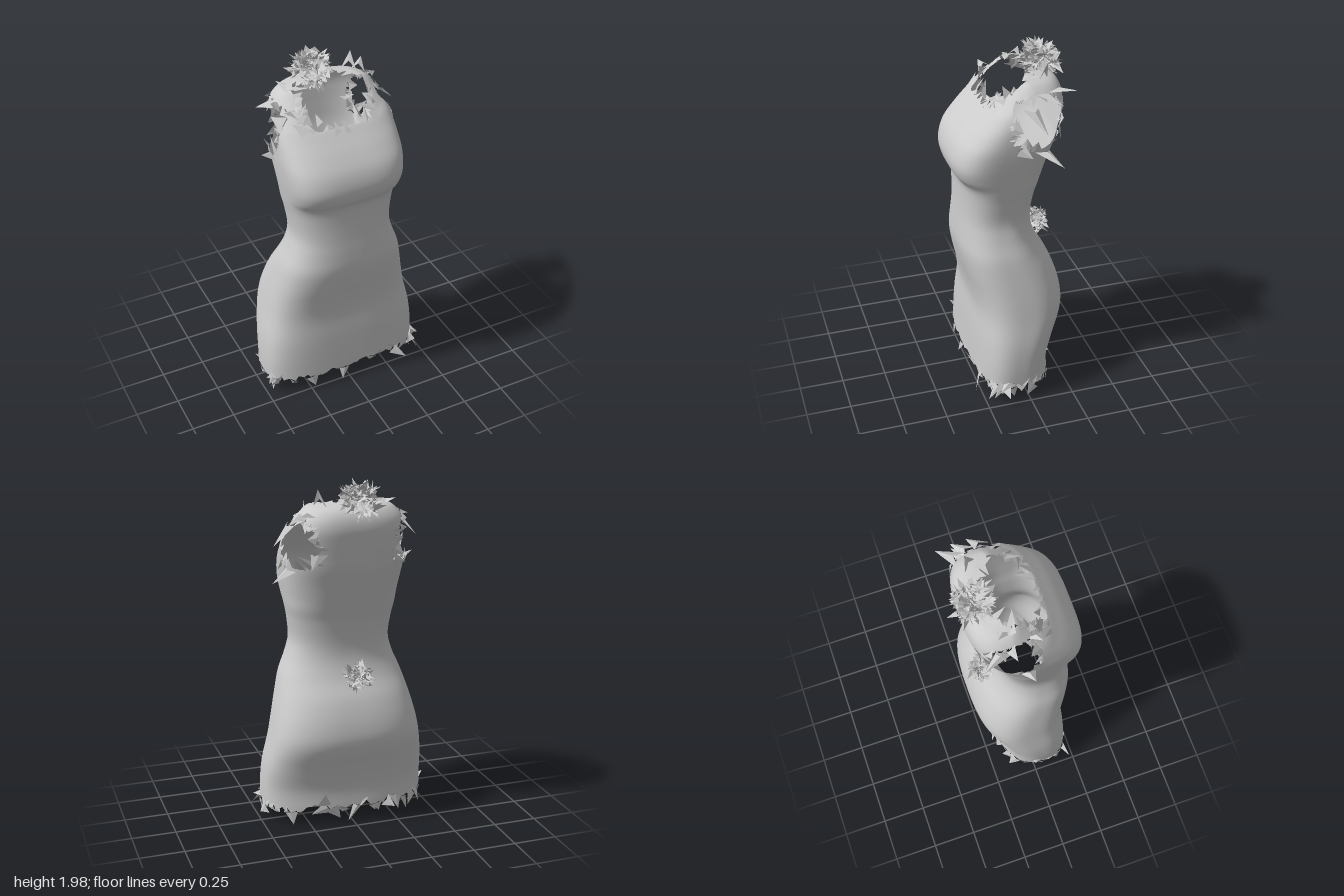
import * as THREE from 'three';

let seed = 7;
const rnd = () => {
  seed = (seed * 16807) % 2147483647;
  return seed / 2147483647;
};
const rndVec = () => new THREE.Vector3(rnd() - 0.5, rnd() - 0.5, rnd() - 0.5).multiplyScalar(2);

// Cross-section: side height, half width, front z, back z,
// front squareness, back squareness, front height, back height
const row = (y, w, zf, zb, nf, nb, yf = y, yb = y) => [y, w, zf, zb, nf, nb, yf, yb];
const ROWS = [
  row(0.11, 0.478, 0.262, -0.185, 3.3, 2.5), row(0.22, 0.478, 0.257, -0.185, 3.3, 2.5),
  row(0.35, 0.467, 0.25, -0.22, 3.3, 2.6), row(0.5, 0.437, 0.24, -0.272, 3.3, 2.7),
  row(0.62, 0.413, 0.255, -0.265, 3.1, 2.7), row(0.75, 0.382, 0.285, -0.22, 2.9, 2.6),
  row(0.86, 0.352, 0.303, -0.155, 2.7, 2.5), row(0.96, 0.312, 0.3, -0.12, 2.6, 2.4),
  row(1.06, 0.287, 0.292, -0.115, 2.6, 2.4), row(1.18, 0.298, 0.287, -0.135, 2.7, 2.4),
  row(1.26, 0.313, 0.293, -0.16, 2.9, 2.4, 1.27), row(1.33, 0.323, 0.332, -0.185, 3.3, 2.4, 1.335),
  row(1.41, 0.333, 0.345, -0.21, 3.6, 2.5), row(1.5, 0.34, 0.32, -0.24, 3.6, 2.6),
  row(1.58, 0.34, 0.262, -0.255, 3.4, 2.7), row(1.66, 0.335, 0.195, -0.268, 3.3, 2.8, 1.65, 1.66),
  row(1.73, 0.318, 0.16, -0.277, 3.3, 2.8, 1.685, 1.73),
  row(1.79, 0.285, 0.14, -0.267, 3.2, 2.8, 1.7, 1.79),
  row(1.835, 0.24, 0.125, -0.235, 3.2, 2.7, 1.715, 1.835),
  row(1.85, 0.19, 0.115, -0.175, 3.1, 2.6, 1.72, 1.855),
];

// Smooth interpolation between neighbouring cross-sections
function sampleRow(t) {
  const last = ROWS.length - 1;
  const i = Math.min(Math.floor(t), last - 1), f = t - i;
  const at = (k) => ROWS[Math.max(0, Math.min(last, k))];
  return ROWS[0].map((_, c) => {
    const [a, b, d, e] = [at(i - 1)[c], at(i)[c], at(i + 1)[c], at(i + 2)[c]];
    return b + 0.5 * f * (d - a + f * (2 * a - 5 * b + 4 * d - e + f * (3 * (b - d) + e - a)));
  });
}

function bodyPoint(t, angle) {
  const [y, w, zf, zb, nf, nb, yf, yb] = sampleRow(t);
  const c = Math.cos(angle), s = Math.sin(angle);
  const mid = (zf + zb) / 2;
  const p = 2 / (s > 0 ? nf : nb);
  const depth = Math.abs(s) ** p;
  return new THREE.Vector3(
    w * Math.sign(c) * Math.abs(c) ** p,
    y + ((s > 0 ? yf : yb) - y) * depth,
    mid + ((s > 0 ? zf : zb) - mid) * depth);
}

const inArmhole = (p) => Math.abs(p.x) > 0.21 &&
  Math.abs((p.z + 0.092) / 0.15) ** 3 + Math.abs((p.y - 1.65) / 0.14) ** 3 < 1;
const inNeckline = (p) => p.z > -0.06 && p.y > 1.69 && Math.abs(p.x) < 0.205;

// Lofted cloth with the armholes and square neckline left open
function makeBody() {
  const U = 120, V = 100, pts = [], index = [];
  for (let i = 0; i <= V; i++) {
    for (let j = 0; j < U; j++) {
      const p = bodyPoint((i / V) * (ROWS.length - 1), (j / U) * Math.PI * 2);
      if (i === 0) p.y += (rnd() - 0.5) * 0.04;
      pts.push(p);
    }
  }
  for (let i = 0; i < V; i++) {
    for (let j = 0; j < U; j++) {
      const a = i * U + j, b = i * U + ((j + 1) % U), c = a + U, d = b + U;
      for (const tri of [[a, c, b], [b, c, d]]) {
        const centre = new THREE.Vector3();
        tri.forEach((k) => centre.addScaledVector(pts[k], 1 / 3));
        if (!inArmhole(centre) && !inNeckline(centre)) index.push(...tri);
      }
    }
  }
  const geo = new THREE.BufferGeometry().setFromPoints(pts);
  geo.setIndex(index);
  geo.computeVertexNormals();
  return { geo, pts, index };
}

// Torn shards along every open edge of the cloth
function makeFringe(pts, index) {
  const open = new Map();
  for (let k = 0; k < index.length; k += 3) {
    for (let e = 0; e < 3; e++) {
      const a = index[k + e], b = index[k + ((e + 1) % 3)], o = index[k + ((e + 2) % 3)];
      if (!open.delete(b + '_' + a)) open.set(a + '_' + b, [a, b, o]);
    }
  }
  const out = [];
  for (const [a, b, o] of open.values()) {
    const hem = pts[a].y < 0.5;
    if (rnd() > (hem ? 0.5 : 0.25)) continue;
    const mid = pts[a].clone().lerp(pts[b], 0.5);
    const along = pts[b].clone().sub(pts[a]).normalize();
    const away = mid.clone().sub(pts[o]);
    away.addScaledVector(along, -away.dot(along)).normalize();
    const outward = new THREE.Vector3(mid.x, 0, mid.z).normalize();
    away.addScaledVector(outward, hem ? rnd() * 0.3 - 0.1 : rnd() * 0.9 - 0.2)
      .addScaledVector(rndVec(), 0.4).normalize();
    const len = 0.03 + 0.08 * rnd() ** 2;
    const half = 0.02 + 0.03 * rnd();
    const tip = mid.clone().addScaledVector(away, len);
    tip.y = Math.max(0, tip.y);
    const left = mid.clone().addScaledVector(along, -half);
    const right = mid.clone().addScaledVector(along, half);
    // a folded shard: two triangles sharing a ridge
    const fold = mid.clone().addScaledVector(outward, 0.008);
    out.push(left, fold, tip, fold, right, tip);
  }
  return out;
}

// Ball of crumpled scraps with spikes pointing outward
function makeTuft(centre, radius, count) {
  const out = [];
  for (let i = 0; i < count; i++) {
    const dir = rndVec().normalize();
    const base = centre.clone().addScaledVector(dir, radius * (0.1 + 0.65 * rnd()));
    const side = rndVec().cross(dir).normalize().multiplyScalar(radius * (0.08 + 0.17 * rnd()));
    const tip = base.clone().addScaledVector(dir.addScaledVector(rndVec(), 0.8).normalize(),
      radius * (0.15 + 0.4 * rnd() ** 1.5));
    out.push(base.clone().add(side), base.clone().sub(side), tip);
  }
  return out;
}

export function createModel() {
  seed = 7;
  const model = new THREE.Group();
  model.name = 'tornDress';
  const smooth = new THREE.MeshStandardMaterial({ color: 0xcccccc, side: THREE.DoubleSide });
  const flat = new THREE.MeshStandardMaterial({
    color: 0xcccccc, side: THREE.DoubleSide, flatShading: true });

  const add = (name, geo, mat) => {
    const mesh = new THREE.Mesh(geo, mat);
    mesh.name = name;
    model.add(mesh);
  };
  const addShards = (name, points) => {
    const geo = new THREE.BufferGeometry().setFromPoints(points);
    geo.computeVertexNormals();
    add(name, geo, flat);
  };

  const { geo, pts, index } = makeBody();
  add('dressBody', geo, smooth);
  addShards('raggedEdges', makeFringe(pts, index));
  addShards('neckTuft', makeTuft(new THREE.Vector3(-0.02, 1.868, -0.2), 0.128, 700));
  addShards('waistTuft', makeTuft(new THREE.Vector3(-0.03, 0.885, -0.185), 0.092, 350));

  // Larger loose scraps at the shoulders, armholes and hem corners: base point and tip
  const scraps = [
    [0.31, 1.74, -0.04, 0.43, 1.63, -0.1], [0.27, 1.8, -0.12, 0.37, 1.76, -0.2],
    [0.33, 1.5, -0.1, 0.46, 1.45, -0.18], [-0.33, 1.5, -0.02, -0.41, 1.54, 0.0],
    [-0.28, 1.76, -0.12, -0.33, 1.68, -0.25], [-0.2, 1.83, -0.1, -0.25, 1.87, -0.15],
    [0.18, 1.84, -0.15, 0.2, 1.94, -0.17], [0.25, 1.8, -0.18, 0.33, 1.82, -0.29],
    [0.1, 1.69, 0.14, 0.1, 1.76, 0.05], [-0.1, 1.69, 0.14, -0.13, 1.76, 0.08],
    [0.22, 1.76, 0.03, 0.2, 1.84, 0.08], [-0.24, 1.76, 0.04, -0.3, 1.8, 0.07],
    [-0.46, 0.13, 0.02, -0.5, 0.18, 0.0], [0.46, 0.13, 0.1, 0.5, 0.1, 0.18],
    [-0.44, 0.12, 0.12, -0.46, 0.01, 0.16], [0.43, 0.12, 0.12, 0.44, 0.02, 0.2],
  ];
  const scrapPoints = [];
  for (const [x, y, z, tx, ty, tz] of scraps) {
    const base = new THREE.Vector3(x, y, z), tip = new THREE.Vector3(tx, ty, tz);
    const side = new THREE.Vector3(-z, 0.03, x).normalize().multiplyScalar(0.045);
    const fold = base.clone().lerp(tip, 0.25).add(new THREE.Vector3(0, 0.02, 0));
    scrapPoints.push(base.clone().add(side), fold, tip, fold, base.clone().sub(side), tip);
  }
  addShards('looseScraps', scrapPoints);
  return model;
}
